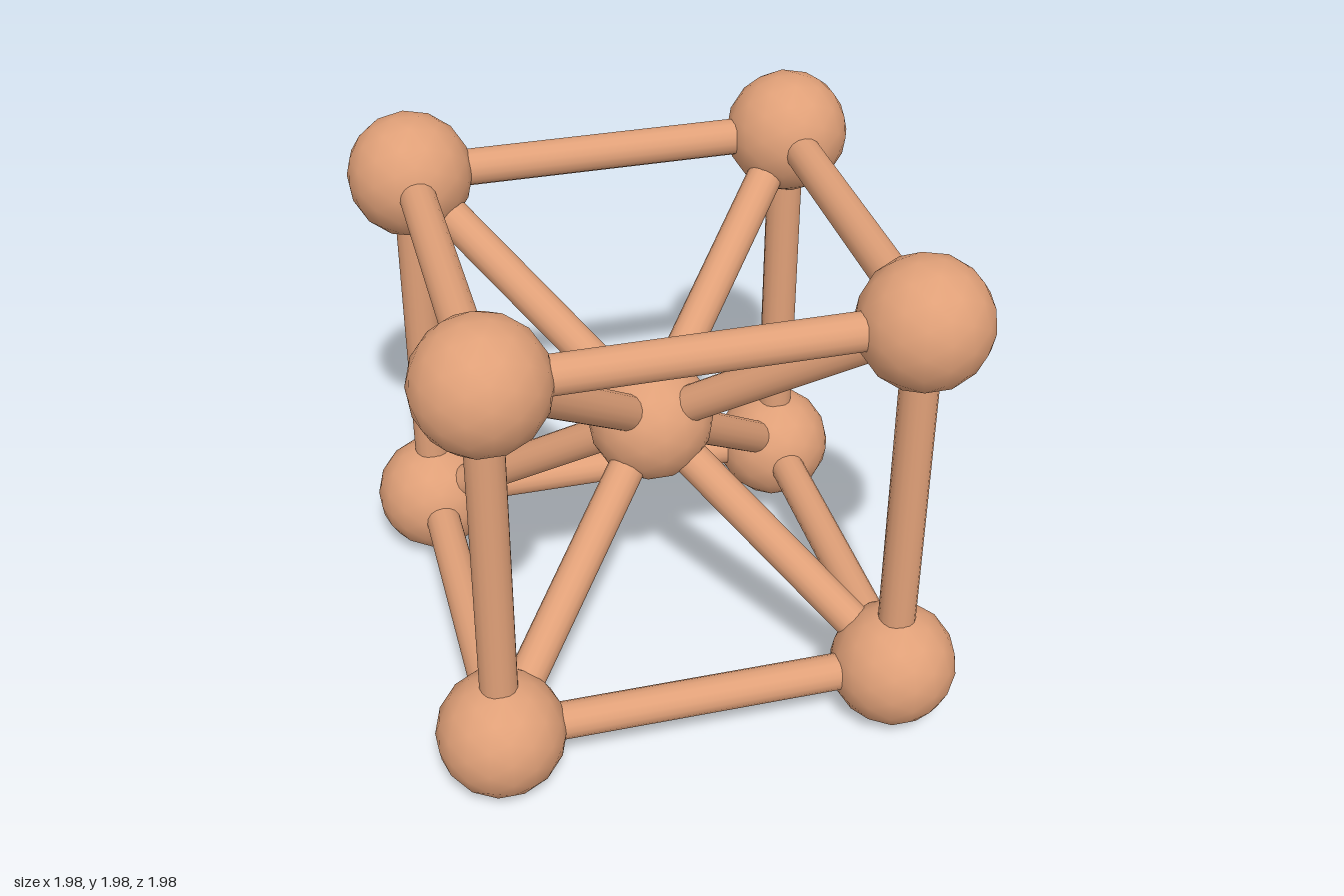
import * as THREE from 'three';

export function createModel() {
  const group = new THREE.Group();
  const material = new THREE.MeshStandardMaterial({ color: 0xe0a078 });
  const half = 0.755, ballRadius = 0.24, barRadius = 0.07;
  const centre = new THREE.Vector3(0, 1.005, 0);
  const up = new THREE.Vector3(0, 1, 0);
  const ballGeometry = new THREE.IcosahedronGeometry(ballRadius, 2);

  function addBall(name, position) {
    const ball = new THREE.Mesh(ballGeometry, material);
    ball.name = name;
    ball.position.copy(position);
    group.add(ball);
  }

  // Round bar running between two ball centres
  function addBar(name, a, b) {
    const span = b.clone().sub(a);
    const geometry = new THREE.CylinderGeometry(barRadius, barRadius, span.length(), 16);
    const bar = new THREE.Mesh(geometry, material);
    bar.name = name;
    bar.position.copy(a).addScaledVector(span, 0.5);
    bar.quaternion.setFromUnitVectors(up, span.normalize());
    group.add(bar);
  }

  // Eight corners of the cube; the bits of the index choose the side on each axis
  const corners = [];
  for (let i = 0; i < 8; i++) {
    const sign = (bit) => (i & bit ? half : -half);
    corners.push(new THREE.Vector3(sign(1), sign(2), sign(4)).add(centre));
  }

  addBall('centreBall', centre);
  corners.forEach((corner, i) => {
    addBall('cornerBall', corner);
    addBar('diagonalBar', centre, corner);
    // Edge bars to the neighbours on the positive side
    for (const bit of [1, 2, 4]) {
      if (!(i & bit)) addBar('edgeBar', corner, corners[i | bit]);
    }
  });

  return group;
}
